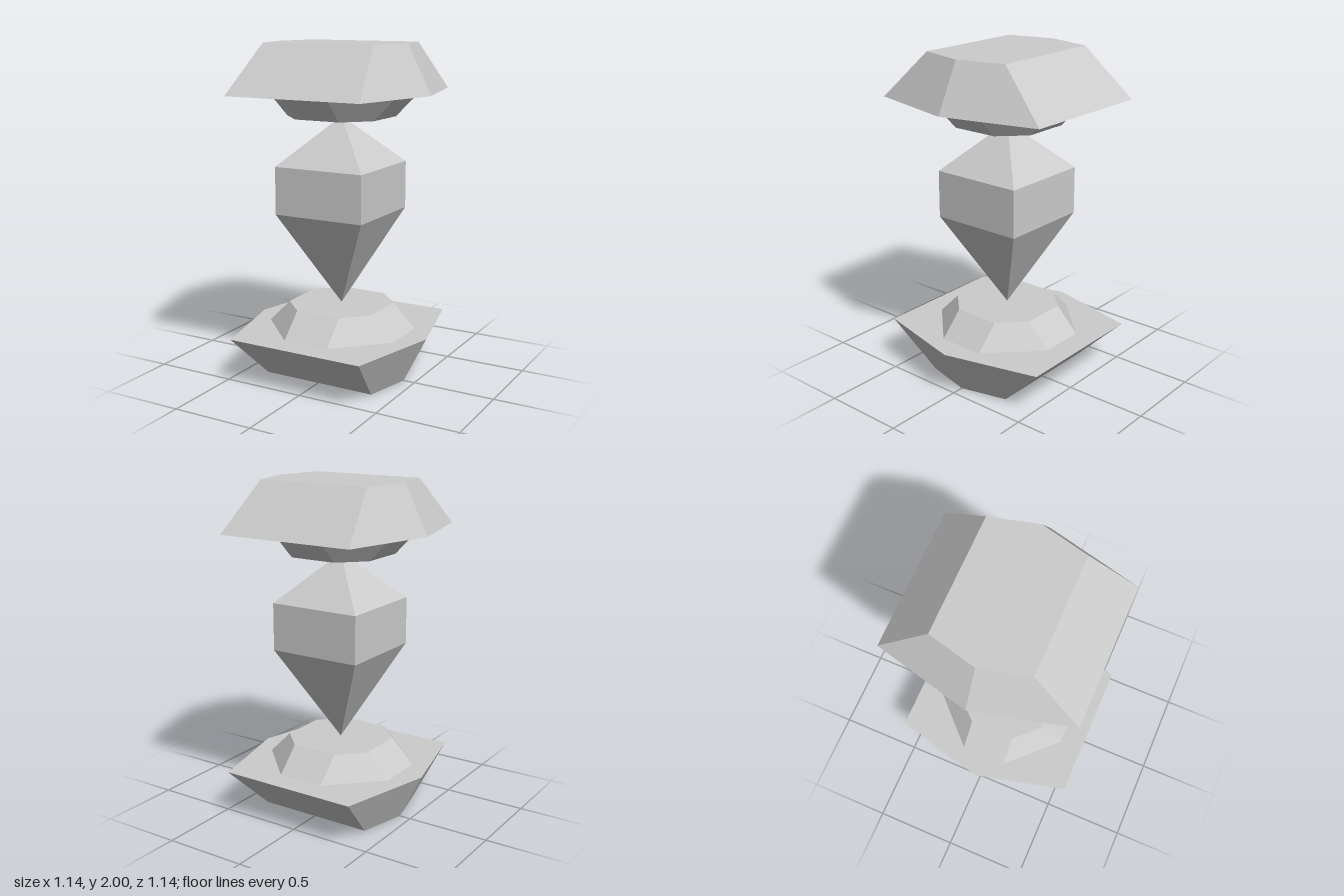
import * as THREE from 'three';

const U = 1 / 7; // grid unit: the model is 14 units tall
const material = new THREE.MeshStandardMaterial({ color: 0xcccccc, flatShading: true });

// Outlines as [x, z], counter-clockwise seen from above
const hexagon = (tip, x, z) => [[tip, 0], [x, -z], [-x, -z], [-tip, 0], [-x, z], [x, z]];
const octagon = (r) => [[r, 1], [r, -1], [1, -r], [-1, -r], [-r, -1], [-r, 1], [-1, r], [1, r]];

// Closed solid between a lower and an upper outline
function frustum(name, y0, lower, y1, upper) {
  const a = lower.map(([x, z]) => [x * U, y0 * U, z * U]);
  const b = upper.map(([x, z]) => [x * U, y1 * U, z * U]);
  const pos = [];
  const tri = (...corners) => corners.forEach((c) => pos.push(...c));
  const n = a.length;
  for (let i = 0; i < n; i++) {
    const j = (i + 1) % n;
    tri(a[i], a[j], b[j]);
    tri(a[i], b[j], b[i]);
    if (i > 0 && j > 0) {
      tri(b[0], b[i], b[j]);
      tri(a[0], a[j], a[i]);
    }
  }
  const geometry = new THREE.BufferGeometry();
  geometry.setAttribute('position', new THREE.Float32BufferAttribute(pos, 3));
  geometry.computeVertexNormals();
  const mesh = new THREE.Mesh(geometry, material);
  mesh.name = name;
  return mesh;
}

// Open four-sided section of the crystal, sides facing the axes
function crystalSection(name, y0, r0, y1, r1) {
  const k = Math.SQRT2 * U;
  const geometry = new THREE.CylinderGeometry(r1 * k, r0 * k, (y1 - y0) * U, 4, 1, true);
  geometry.rotateY(Math.PI / 4);
  const mesh = new THREE.Mesh(geometry, material);
  mesh.position.y = ((y0 + y1) / 2) * U;
  mesh.name = name;
  return mesh;
}

export function createModel() {
  const model = new THREE.Group();
  model.name = 'floatingCrystal';
  const wide = hexagon(4, 3, 4);
  const narrow = hexagon(3, 2.5, 2);

  // Base and cap mirror each other, each with an octagonal collar facing the crystal
  model.add(
    frustum('base', 0, narrow, 2, wide),
    frustum('baseCollar', 2, octagon(3), 3, octagon(2)),
    frustum('capCollar', 11, octagon(2), 12, octagon(3)),
    frustum('cap', 12, wide, 14, narrow),
  );

  // Crystal touching both collars with its points
  const crystal = new THREE.Group();
  crystal.name = 'crystal';
  crystal.add(
    crystalSection('crystalLowerPoint', 3, 0, 7, 2),
    crystalSection('crystalBody', 7, 2, 9, 2),
    crystalSection('crystalUpperPoint', 9, 2, 11, 0),
  );
  model.add(crystal);
  return model;
}
